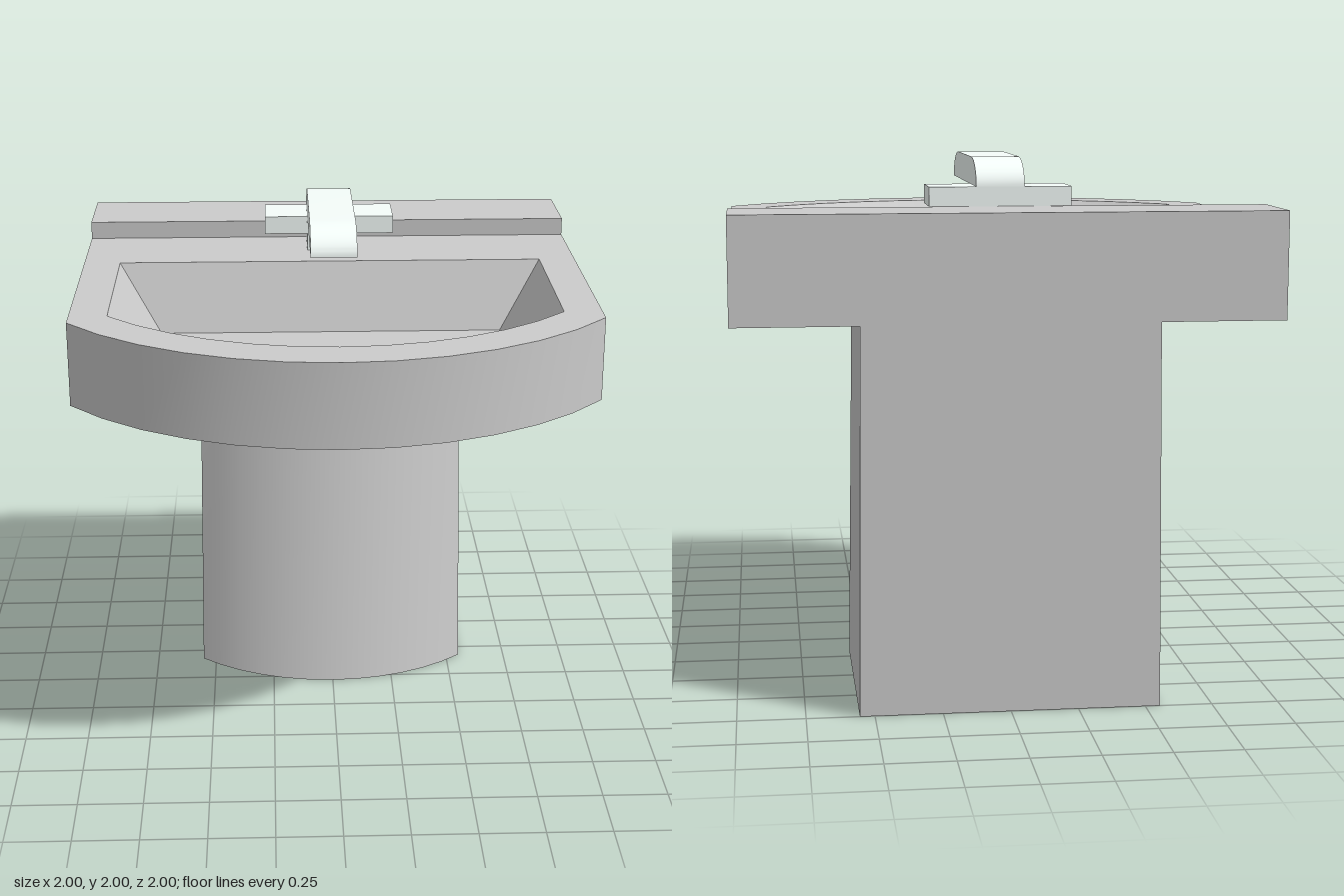
import * as THREE from 'three';
import { mergeGeometries, toCreasedNormals } from 'three/addons/utils/BufferGeometryUtils.js';

const CREASE = 0.5;

// D-shaped outline: straight back at zBack, sides to zSide, bowed front reaching zFront.
// Counter-clockwise seen from above; each point holds x and z.
function dRing(half, zBack, zSide, zFront, segments = 12) {
  const sag = zFront - zSide;
  const radius = (half * half + sag * sag) / (2 * sag);
  const spread = Math.asin(half / radius);
  const ring = [new THREE.Vector2(-half, zBack)];
  for (let i = 0; i <= segments; i++) {
    const a = spread * (2 * i / segments - 1);
    ring.push(new THREE.Vector2(radius * Math.sin(a), zFront - radius + radius * Math.cos(a)));
  }
  ring.push(new THREE.Vector2(half, zBack));
  return ring;
}

// Wall joining ring a at height ya to ring b at height yb
function band(a, ya, b, yb) {
  const pos = [];
  a.forEach((p, i) => {
    const j = (i + 1) % a.length;
    const a0 = [p.x, ya, p.y], a1 = [a[j].x, ya, a[j].y];
    const b0 = [b[i].x, yb, b[i].y], b1 = [b[j].x, yb, b[j].y];
    pos.push(...a0, ...a1, ...b1, ...a0, ...b1, ...b0);
  });
  const geo = new THREE.BufferGeometry();
  geo.setAttribute('position', new THREE.Float32BufferAttribute(pos, 3));
  geo.computeVertexNormals();
  return geo;
}

// Flat face filling a ring, facing up or down, with an optional hole
function cap(ring, y, up, hole) {
  const s = up ? -1 : 1;
  const flat = (r) => r.map((p) => new THREE.Vector2(p.x, s * p.y));
  const shape = new THREE.Shape(flat(ring));
  if (hole) shape.holes.push(new THREE.Path(flat(hole)));
  const geo = new THREE.ShapeGeometry(shape).toNonIndexed();
  geo.deleteAttribute('uv');
  return geo.rotateX(s * Math.PI / 2).translate(0, y, 0);
}

export function createModel() {
  const model = new THREE.Group();
  model.name = 'washbasin';
  const ceramic = new THREE.MeshStandardMaterial({ color: 0xcccccc });
  const metal = new THREE.MeshStandardMaterial({ color: 0xf5fdfa });

  const add = (name, geo, material, parent = model) => {
    const mesh = new THREE.Mesh(geo, material);
    mesh.name = name;
    parent.add(mesh);
  };
  const box = (x, y0, y1, z0, z1) =>
    new THREE.BoxGeometry(2 * x, y1 - y0, z1 - z0).translate(0, (y0 + y1) / 2, (z0 + z1) / 2);
  const smooth = (parts) => toCreasedNormals(mergeGeometries(parts), CREASE);

  // Pedestal, leaning back towards the top
  const foot = dRing(0.555, -1, -0.175, 0.04);
  const neck = dRing(0.54, -1, -0.36, -0.2);
  add('pedestal', smooth([
    cap(foot, 0, false), band(foot, 0, neck, 1.43), cap(neck, 1.43, true),
  ]), ceramic);

  // Basin slab with a sunken bowl
  const bottom = 1.43, top = 1.755, floorY = 1.485;
  const outline = dRing(1, -1, 0.515, 1);
  const rim = dRing(0.855, -0.28, 0.435, 0.825);
  const floor = dRing(0.69, -0.18, 0.275, 0.515);
  add('basin', smooth([
    cap(outline, bottom, false),
    band(outline, bottom, outline, top),
    cap(outline, top, true, rim),
    band(rim, top, floor, floorY),
    cap(floor, floorY, true),
  ]), ceramic);

  // Raised ledge along the back
  add('backLedge', box(1, top, 1.825, -1, -0.66), ceramic);

  // Tap: stem, cross handle and rounded spout
  const tap = new THREE.Group();
  tap.name = 'tap';
  model.add(tap);
  add('tapStem', box(0.09, top, 1.897, -0.655, -0.45), metal, tap);
  add('tapHandle', box(0.265, 1.825, 1.897, -0.655, -0.452), metal, tap);

  // Spout side profile, drawn with z across and y up, then swept over x
  const profile = new THREE.Shape();
  profile.moveTo(-0.655, 1.897);
  profile.lineTo(0.17, 1.897);
  profile.absellipse(-0.01, 1.897, 0.18, 0.103, 0, Math.PI / 2, false, 0);
  profile.lineTo(-0.475, 2);
  profile.absellipse(-0.475, 1.897, 0.18, 0.103, Math.PI / 2, Math.PI, false, 0);
  const spout = new THREE.ExtrudeGeometry(profile, { depth: 0.18, bevelEnabled: false, curveSegments: 10 });
  spout.rotateY(-Math.PI / 2).translate(0.09, 0, 0);
  add('tapSpout', toCreasedNormals(spout, CREASE), metal, tap);

  return model;
}
